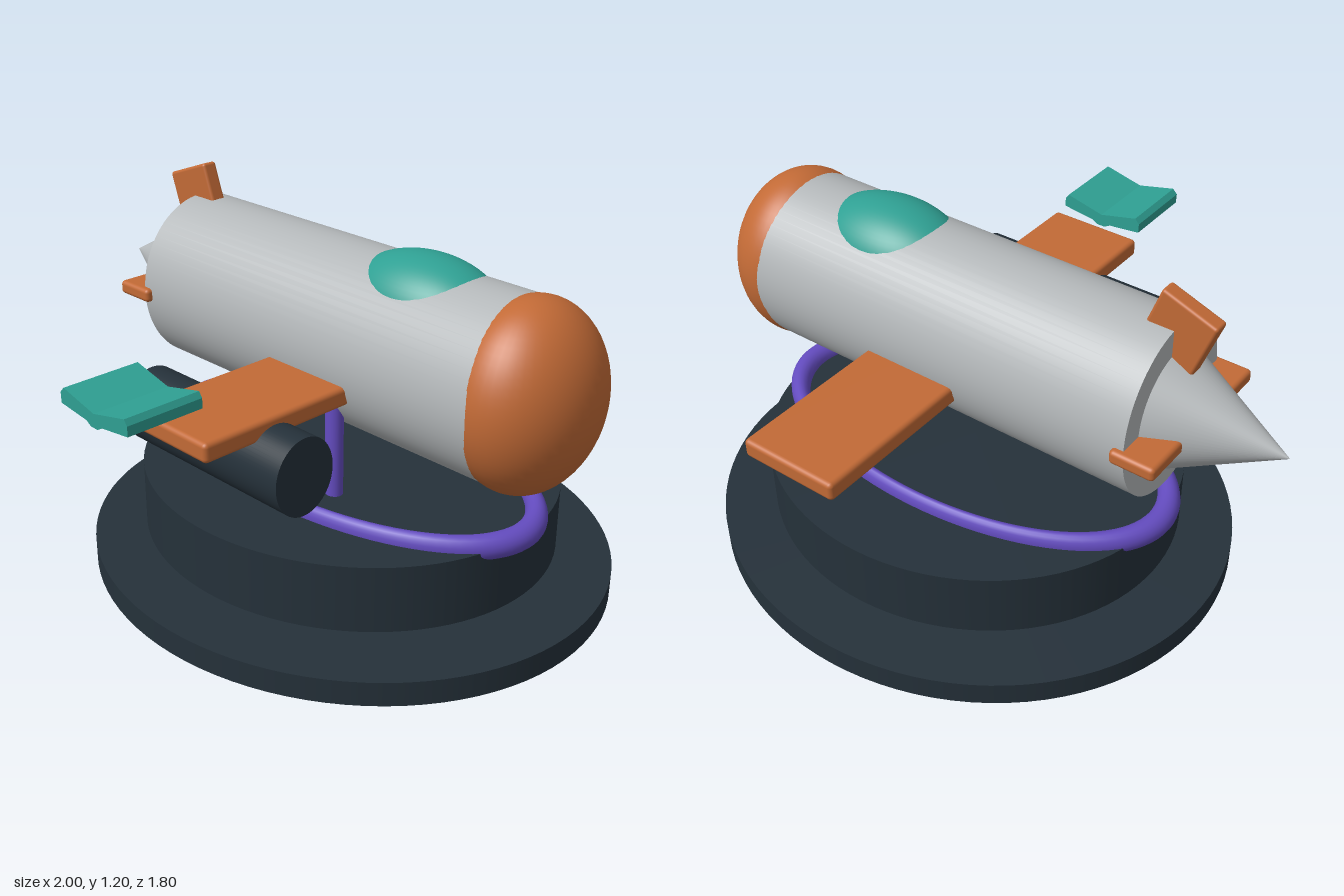
import * as THREE from 'three';
import { RoundedBoxGeometry } from 'three/addons/geometries/RoundedBoxGeometry.js';

const mat = (name, color) => {
  const m = new THREE.MeshStandardMaterial({ color });
  m.name = name;
  return m;
};

export function createModel() {
  const model = new THREE.Group();
  const dark = mat('dark slate', 0x25313a);
  const grey = mat('hull grey', 0xb4b8ba);
  const orange = mat('orange', 0xc26a36);
  const teal = mat('teal', 0x2fa093);
  const purple = mat('purple', 0x644cc0);
  const Z = -0.085; // centre line of the craft
  const Y = 0.797; // height of the hull axis

  const add = (name, geometry, material, x, y, z) => {
    const mesh = new THREE.Mesh(geometry, material);
    mesh.name = name;
    mesh.position.set(x, y, z);
    model.add(mesh);
    return mesh;
  };
  const ellipsoid = (rx, ry, rz) => new THREE.SphereGeometry(1, 48, 32).scale(rx, ry, rz);
  // Cylinder along x with elliptical section; the first radius is at the +x end
  const barrel = (rFront, rBack, length, squash) =>
    new THREE.CylinderGeometry(rFront, rBack, length, 64).rotateZ(-Math.PI / 2).scale(1, 1, squash);

  // Stand: two oval discs and the ring on top
  add('baseDisc', new THREE.CylinderGeometry(0.893, 0.893, 0.08, 96).scale(1, 1, 0.912), dark, 0.095, 0.04, Z);
  add('upperDisc', new THREE.CylinderGeometry(0.708, 0.708, 0.217, 96).scale(1, 1, 0.915), dark, 0.093, 0.2335, Z);
  add('standRing', new THREE.TorusGeometry(0.711, 0.04, 20, 96).rotateX(Math.PI / 2).scale(1, 1, 0.53),
    purple, 0.092, 0.344, Z);

  // Landing struts with their wheels sunk in the stand
  for (const x of [-0.045, 0.23]) {
    add('strut', new THREE.CylinderGeometry(0.03, 0.03, 0.61, 24).scale(1, 1, 0.91), purple, x, 0.392, 0.122);
    add('wheel', new THREE.TorusGeometry(0.1, 0.03, 16, 40).rotateY(Math.PI / 2).scale(1, 1, 0.95),
      dark, x, 0.214, 0.118);
  }

  // Hull, tail cone, nose and canopy
  add('hull', barrel(0.287, 0.287, 1.42, 0.903), grey, 0.085, Y, Z);
  add('tailCone', barrel(0.2, 0, 0.376, 0.91), grey, -0.812, Y, Z);
  add('nose', ellipsoid(0.206, 0.295, 0.2605), orange, 0.79, Y, Z);
  add('canopy', ellipsoid(0.266, 0.15, 0.17), teal, 0.4, 0.97, Z);

  // Wing and tail surfaces
  add('wing', new RoundedBoxGeometry(0.335, 0.062, 1.57, 3, 0.015), orange, 0.148, 0.712, Z);
  add('tailplane', new RoundedBoxGeometry(0.147, 0.046, 0.562, 3, 0.014), orange, -0.661, 0.789, Z);
  const fin = add('tailFin', new RoundedBoxGeometry(0.19, 0.25, 0.054, 3, 0.01), orange, -0.624, 1.052, Z);
  fin.rotation.z = 0.35;

  // Engine pod under the left wing
  add('enginePod', barrel(0.122, 0.122, 0.68, 0.9), dark, 0.095, 0.597, 0.444);

  // Bent plate beyond the wing tip
  const outline = [
    [-0.055, 0.81], [0.06, 0.797], [0.08, 0.785], [0.11, 0.785], [0.13, 0.797], [0.245, 0.812],
    [0.245, 0.843], [0.233, 0.86], [0.095, 0.828], [-0.04, 0.86], [-0.056, 0.843],
  ].map(([x, y]) => new THREE.Vector2(x, y));
  add('bentPlate', new THREE.ExtrudeGeometry(new THREE.Shape(outline), { depth: 0.252, bevelEnabled: false }),
    teal, 0, 0, 0.646);

  return model;
}
